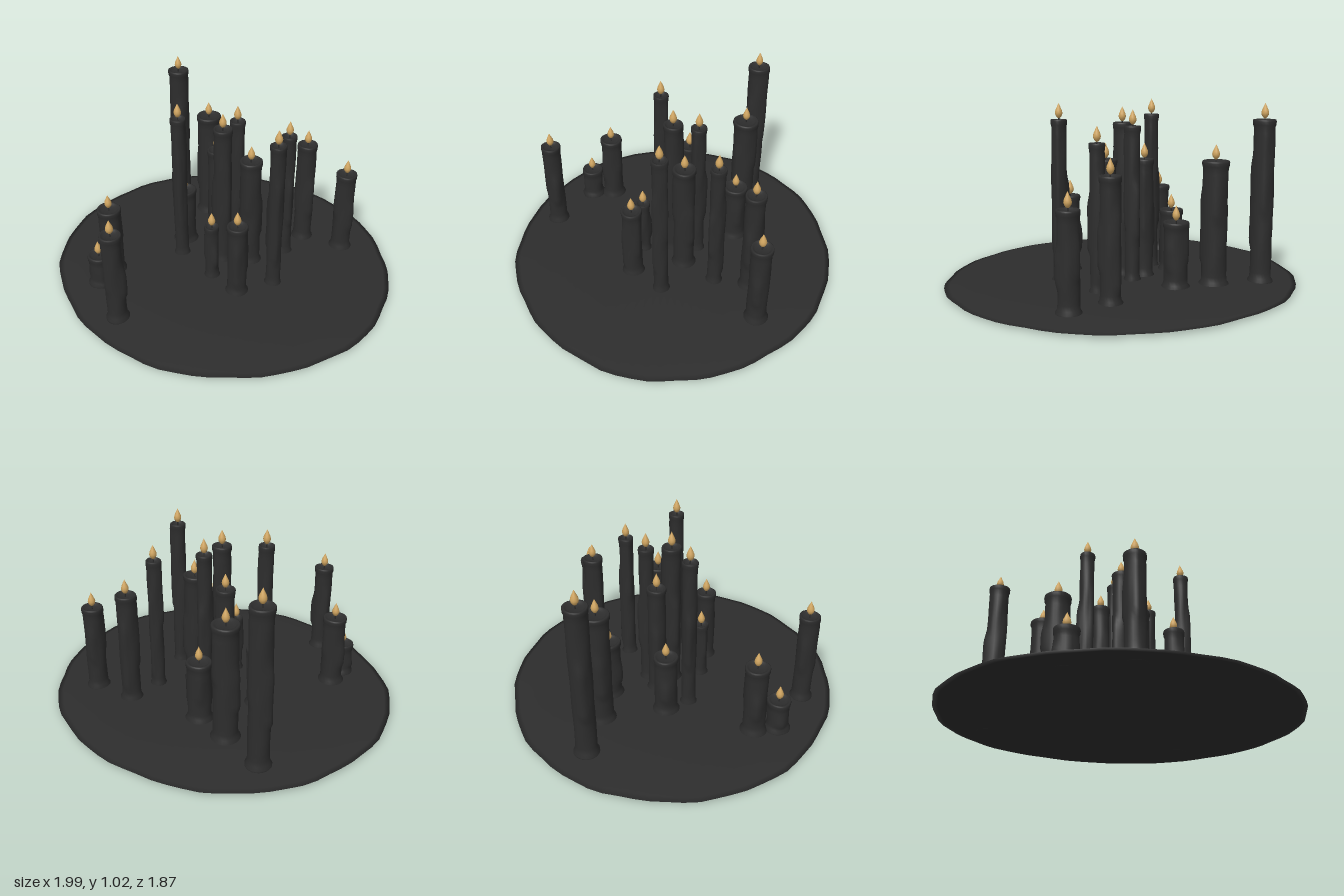
import * as THREE from 'three';
import { mergeVertices } from 'three/addons/utils/BufferGeometryUtils.js';

const wax = new THREE.MeshStandardMaterial({ name: 'blackWax', color: 0x2d2d2d });
const glow = new THREE.MeshStandardMaterial({ name: 'flameAmber', color: 0xd0a560 });

// x, z, top height, radius, angle of the main drip (0 = +x, PI / 2 = +z)
const CANDLES = [
  [-0.65, -0.43, 0.925, 0.063, 3.0], [-0.38, -0.38, 0.71, 0.074, 2.9],
  [-0.16, -0.35, 0.39, 0.07, 1.8], [0.27, -0.47, 0.68, 0.058, 0.3],
  [0.51, -0.52, 0.54, 0.06, 0.1], [0.26, -0.27, 0.82, 0.043, 0.6],
  [0, -0.14, 0.89, 0.044, 4.5], [-0.10, -0.08, 0.70, 0.054, 3.2],
  [0.135, -0.08, 0.71, 0.064, 5.4], [-0.30, -0.025, 0.39, 0.068, 3.2],
  [0, 0, 0.90, 0.054, 2.6], [0.365, 0.02, 0.925, 0.044, 3.1],
  [-0.23, 0.10, 0.935, 0.043, 3.2], [0.045, 0.17, 0.375, 0.041, 0.4],
  [0.24, 0.20, 0.475, 0.058, 3.3], [-0.46, 0.455, 0.45, 0.067, 3.1],
  [-0.44, 0.585, 0.22, 0.064, 2.9], [-0.16, 0.75, 0.575, 0.057, 5.9],
];

function lathe(points, segments, deform) {
  let g = new THREE.LatheGeometry(points.map(([r, y]) => new THREE.Vector2(r, y)), segments);
  g.deleteAttribute('uv');
  g.deleteAttribute('normal');
  g = mergeVertices(g, 1e-5);
  if (deform) {
    const p = g.attributes.position;
    for (let i = 0; i < p.count; i++) {
      const x = p.getX(i), y = p.getY(i), z = p.getZ(i);
      const r = Math.hypot(x, z), a = Math.atan2(z, x);
      const [nr, ny] = deform(r, y, a);
      p.setXYZ(i, nr * Math.cos(a), ny, nr * Math.sin(a));
    }
  }
  g.computeVertexNormals();
  return g;
}

function mesh(name, geometry, material) {
  const m = new THREE.Mesh(geometry, material);
  m.name = name;
  return m;
}

// Shallow pool of wax with an uneven rim
function makeBase() {
  const g = lathe([
    [0, 0.004], [0.4, 0.006], [0.8, 0.01], [0.97, 0.014], [1, 0.017],
    [0.97, 0.021], [0.85, 0.028], [0.65, 0.033], [0.35, 0.035], [0, 0.035],
  ], 72, (r, y, a) => {
    const wave = 0.005 * Math.sin(5 * a + 1) + 0.004 * Math.sin(11 * a) + 0.003 * Math.sin(23 * a + 2);
    return [r * (0.993 + wave * r), y + 0.002 * Math.sin(3 * a + 6 * r) * r];
  });
  g.scale(1, 1, 0.94);
  return mesh('waxBase', g, wax);
}

// Candle shaft with flared foot, melted lip, hollow top and drips down its sides
function makeShaft(h, r, main, seed) {
  const pts = [[0, 0.008], [r * 1.12, 0.008], [r * 1.12, 0.034], [r * 0.95, 0.05]];
  const rows = Math.ceil(h / 0.035);
  for (let i = 1; i < rows; i++) pts.push([r * 0.92, 0.05 + (h - 0.09) * i / rows]);
  pts.push([r * 0.92, h - 0.04], [r * 0.99, h - 0.028], [r * 1.01, h - 0.01], [r * 0.98, h - 0.002],
    [r * 0.92, h], [r * 0.78, h - 0.003], [r * 0.6, h - 0.014], [0, h - 0.014]);
  const drips = [
    { a: main, low: 0.3 * h, high: h * 0.68, size: 0.014, width: 0.42 },
    { a: main + 2.1, low: (0.45 + 0.1 * Math.sin(seed)) * h, high: h, size: 0.008, width: 0.3 },
    { a: main + 4.0, low: (0.25 + 0.15 * Math.sin(seed * 2)) * h, high: h * 0.8, size: 0.01, width: 0.32 },
  ];
  return lathe(pts, 24, (rad, y, a) => {
    if (rad < r * 0.9) return [rad, y];
    let bulge = 0.0012 * Math.sin(3 * a + y * 20 + seed);
    for (const d of drips) {
      const da = Math.atan2(Math.sin(a - d.a), Math.cos(a - d.a));
      const along = THREE.MathUtils.smoothstep(y, d.low - 0.02, d.low + 0.02)
        * (1 - THREE.MathUtils.smoothstep(y, d.high - 0.08, d.high + 0.02));
      bulge += d.size * along * Math.exp(-((da / d.width) ** 2));
    }
    return [rad + bulge, y];
  });
}

// Teardrop flame, shared by every candle
const flameGeometry = lathe([
  [0, 0], [0.01, 0.006], [0.018, 0.018], [0.021, 0.03], [0.018, 0.044],
  [0.011, 0.06], [0.005, 0.073], [0, 0.084],
], 12);
const wickGeometry = new THREE.CylinderGeometry(0.003, 0.004, 0.03, 6);

export function createModel() {
  const model = new THREE.Group();
  model.name = 'candleCluster';
  model.add(makeBase());
  CANDLES.forEach(([x, z, h, r, main], i) => {
    const candle = new THREE.Group();
    candle.name = `candle${i + 1}`;
    candle.position.set(x, 0, z);
    const wick = mesh('wick', wickGeometry, wax);
    wick.position.y = h - 0.002;
    const flame = mesh('flame', flameGeometry, glow);
    flame.position.y = h + 0.004;
    candle.add(mesh('shaft', makeShaft(h, r, main, i * 1.7), wax), wick, flame);
    model.add(candle);
  });
  return model;
}
